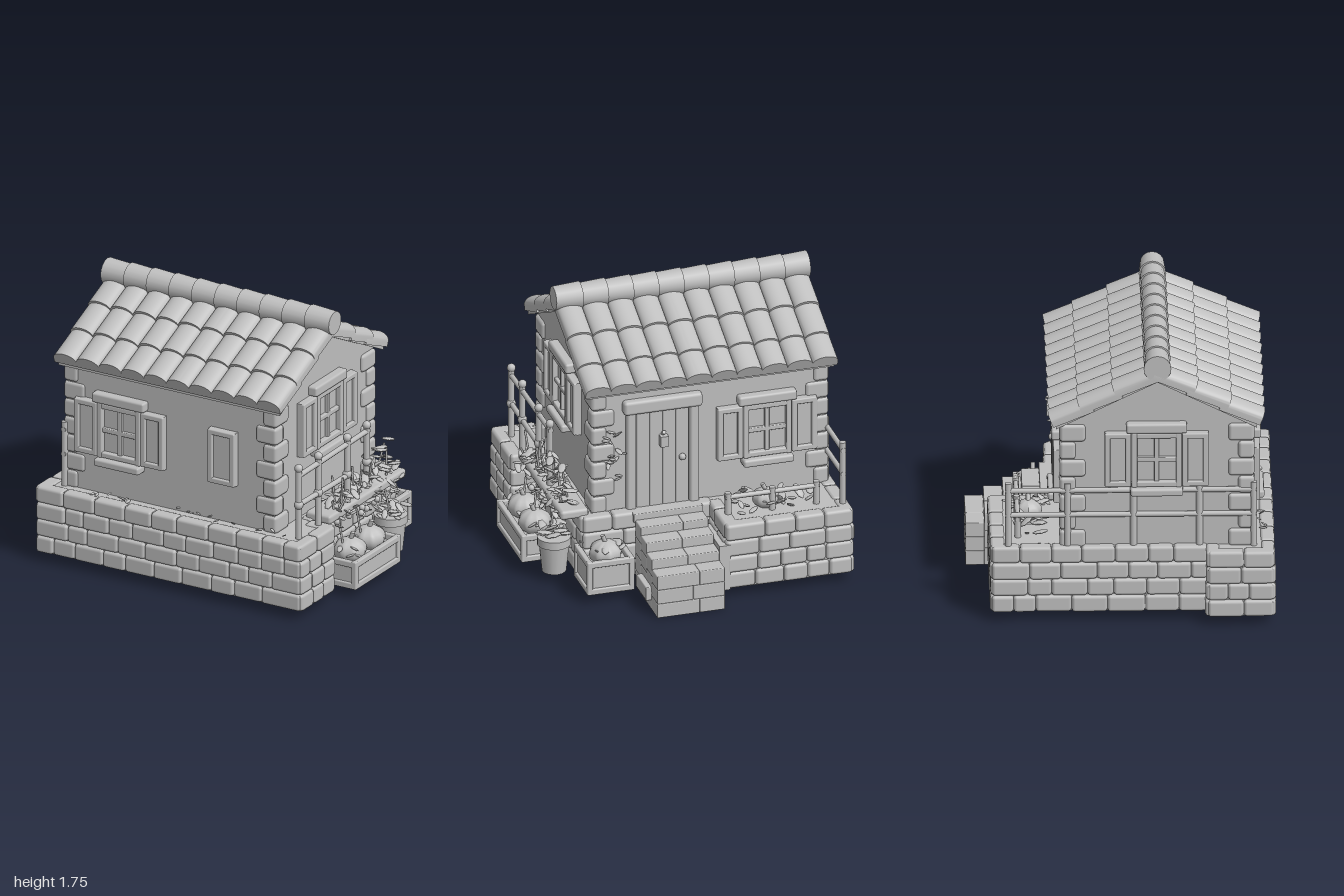
import * as THREE from 'three';
import { mergeGeometries, toCreasedNormals } from 'three/addons/utils/BufferGeometryUtils.js';
import { RoundedBoxGeometry } from 'three/addons/geometries/RoundedBoxGeometry.js';

const clay = new THREE.MeshStandardMaterial({ color: 0xbfbfbf });
clay.name = 'light grey clay';

let seed = 7;
const rnd = (a, b) => {
  seed = (seed * 16807) % 2147483647;
  return a + (b - a) * (seed / 2147483647);
};
const V = (x, y, z) => new THREE.Vector3(x, y, z);
const box = (w, h, d, x, y, z, ry = 0) => new THREE.BoxGeometry(w, h, d).rotateY(ry).translate(x, y, z);
const block = (w, h, d, x, y, z, r = 0.015, ry = 0) =>
  new RoundedBoxGeometry(w, h, d, 1, r).rotateY(ry).translate(x, y, z);
const ball = (r, x, y, z) => new THREE.SphereGeometry(r, 10, 8).translate(x, y, z);

function rod(a, b, r) {
  const dir = b.clone().sub(a);
  const q = new THREE.Quaternion().setFromUnitVectors(V(0, 1, 0), dir.clone().normalize());
  const c = a.clone().add(b).multiplyScalar(0.5);
  return new THREE.CylinderGeometry(r, r, dir.length(), 10).applyQuaternion(q).translate(c.x, c.y, c.z);
}

// Joins the pieces of one part into a single named mesh
function part(name, geos) {
  const list = geos.map((g) => (g.index ? g.toNonIndexed() : g));
  const mesh = new THREE.Mesh(mergeGeometries(list), clay);
  mesh.name = name;
  return mesh;
}

// Courses of pillowy stones along a line on the ground plan
function stones(x0, z0, x1, z1, y0 = 0.06, y1 = 0.49, rows = 4) {
  const out = [], len = Math.hypot(x1 - x0, z1 - z0), h = (y1 - y0) / rows;
  const ry = -Math.atan2(z1 - z0, x1 - x0);
  for (let r = 0; r < rows; r++) {
    let t = 0;
    while (t < len - 0.01) {
      let w = rnd(0.12, 0.23);
      if (len - t - w < 0.09) w = len - t;
      const m = (t + w / 2) / len;
      out.push(block(w, h, 0.08 + rnd(0, 0.018), x0 + (x1 - x0) * m, y0 + h * (r + 0.5), z0 + (z1 - z0) * m, 0.02, ry));
      t += w;
    }
  }
  return out;
}

// Shutter panel with raised border, facing +z
function shutter(x, h = 0.35, w = 0.16) {
  const out = [box(w, h, 0.03, x, 0, 0.015)];
  for (const s of [-1, 1]) {
    out.push(block(0.035, h, 0.03, x + s * (w / 2 - 0.017), 0, 0.035, 0.008));
    out.push(block(w, 0.035, 0.03, x, s * (h / 2 - 0.017), 0.035, 0.008));
  }
  return out;
}

function windowUnit(name, x, y, z, ry) {
  const g = [box(0.27, 0.35, 0.02, 0, 0, 0.005), ...shutter(-0.235), ...shutter(0.235)];
  for (const s of [-1, 1]) {
    g.push(block(0.035, 0.36, 0.05, s * 0.135, 0, 0.025, 0.008));
    g.push(block(0.28, 0.035, 0.045, 0, s * 0.16, 0.025, 0.008));
  }
  g.push(block(0.03, 0.34, 0.03, 0, 0, 0.022, 0.006), block(0.27, 0.03, 0.03, 0, 0, 0.022, 0.006));
  g.push(block(0.37, 0.065, 0.07, 0, 0.21, 0.025), block(0.32, 0.05, 0.09, 0, -0.205, 0.035));
  const m = part(name, g);
  m.position.set(x, y, z);
  m.rotation.y = ry;
  return m;
}

// Ribbed pumpkin with a short stem
function pumpkin(r, x, y, z) {
  const g = new THREE.SphereGeometry(r, 32, 12), p = g.attributes.position;
  for (let i = 0; i < p.count; i++) {
    const k = 1 - 0.09 * Math.abs(Math.sin(Math.atan2(p.getZ(i), p.getX(i)) * 4));
    p.setXYZ(i, p.getX(i) * k, p.getY(i) * 0.75, p.getZ(i) * k);
  }
  g.computeVertexNormals();
  return [g.translate(x, y, z), rod(V(x, y + r * 0.6, z), V(x + 0.02, y + r * 1.1, z), 0.014)];
}

// Scattered flattened leaves inside a box-shaped region
function leaves(n, x0, x1, y0, y1, z0, z1, size = 0.045) {
  return Array.from({ length: n }, () => {
    const s = size * rnd(0.7, 1.3);
    return new THREE.SphereGeometry(1, 7, 5).scale(s, s * 0.18, s * 0.5)
      .rotateZ(rnd(-0.7, 0.7)).rotateY(rnd(0, 6.28))
      .translate(rnd(x0, x1), rnd(y0, y1), rnd(z0, z1));
  });
}

function planter(x0, x1, z0, z1, y0, y1) {
  const w = x1 - x0, d = z1 - z0, cx = (x0 + x1) / 2, cz = (z0 + z1) / 2;
  const out = [box(w - 0.03, y1 - y0 - 0.04, d - 0.03, cx, (y0 + y1) / 2 - 0.02, cz)];
  for (const y of [y0 + 0.018, y1 - 0.022]) for (const s of [-1, 1]) {
    out.push(block(w, 0.04, 0.035, cx, y, cz + s * (d / 2 - 0.017), 0.008));
    out.push(block(0.035, 0.04, d, cx + s * (w / 2 - 0.017), y, cz, 0.008));
  }
  for (const sx of [-1, 1]) for (const sz of [-1, 1])
    out.push(block(0.035, y1 - y0, 0.035, cx + sx * (w / 2 - 0.017), (y0 + y1) / 2, cz + sz * (d / 2 - 0.017), 0.008));
  return out;
}

// Barrel tiles in three stepped rows; dir is +1 for front, -1 for back
function roofSlope(dir, edges) {
  const out = [], w = 0.08, slope = Math.atan(0.5);
  const arch = new THREE.Shape();
  arch.moveTo(-w, -0.02);
  arch.lineTo(w, -0.02);
  arch.lineTo(w, 0.015);
  arch.absellipse(0, 0.015, w, 0.05, 0, Math.PI, false);
  edges.forEach((e) => {
    const len = 0.27;
    for (let c = 0; c < 10; c++) {
      const g = new THREE.ExtrudeGeometry(arch, { depth: len, bevelEnabled: false, curveSegments: 10 })
        .translate(0, 0, -len).rotateX(slope - 0.07);
      const zEdge = dir > 0 ? e - 0.195 : 0.195 - e;
      g.translate(0, 1.625 - 0.5 * zEdge, zEdge);
      if (dir < 0) g.rotateY(Math.PI);
      out.push(toCreasedNormals(g.translate(-0.82 + c * 0.16, 0, 0.195), 0.7));
    }
  });
  return out;
}

export function createModel() {
  const house = new THREE.Group();
  house.name = 'cottage';
  const add = (name, geos) => house.add(part(name, geos));

  // Foundation: front terrace, middle and back yard, faced with stones
  add('foundationCore', [
    box(1.83, 0.42, 0.38, -0.045, 0.27, 0.695), box(1.56, 0.42, 0.95, -0.08, 0.27, 0.04),
    box(0.75, 0.42, 0.4, -0.48, 0.27, -0.6)]);
  add('foundationStones', [
    ...stones(-0.98, 0.865, 0.89, 0.865), ...stones(-0.98, 0.53, -0.83, 0.53), ...stones(0.72, 0.53, 0.89, 0.53),
    ...stones(-0.945, 0.5, -0.945, 0.9), ...stones(0.855, 0.5, 0.855, 0.9),
    ...stones(-0.85, -0.81, -0.85, 0.5), ...stones(0.69, -0.45, 0.69, 0.5),
    ...stones(-0.88, -0.775, -0.08, -0.775), ...stones(-0.12, -0.78, -0.12, -0.42), ...stones(-0.1, -0.425, 0.72, -0.425)]);

  // Walls with pointed gable ends
  const gable = new THREE.Shape([[-0.77, 0.46], [0.385, 0.46], [0.385, 1.29], [-0.195, 1.58], [-0.77, 1.29]]
    .map(([u, y]) => new THREE.Vector2(u, y)));
  add('walls', [new THREE.ExtrudeGeometry(gable, { depth: 1.47, bevelEnabled: false })
    .rotateY(Math.PI / 2).translate(-0.84, 0, 0)]);
  const quoins = [];
  for (const sx of [-1, 1]) for (const sz of [-1, 1]) for (let i = 0; i < 7; i++) {
    const lx = i % 2 ? 0.15 : 0.1, lz = i % 2 ? 0.1 : 0.16;
    quoins.push(block(lx, 0.115, lz, (sx > 0 ? 0.65 : -0.86) - sx * lx / 2, 0.53 + i * 0.116,
      (sz > 0 ? 0.785 : -0.4) - sz * lz / 2, 0.022));
  }
  add('cornerStones', quoins);

  // Roof: boards, tiles and ridge caps
  const boards = new THREE.Shape([[-0.8, 1.27], [-0.195, 1.575], [0.42, 1.27], [0.42, 1.3], [-0.195, 1.61], [-0.8, 1.3]]
    .map(([u, y]) => new THREE.Vector2(u, y)));
  add('roofBoards', [new THREE.ExtrudeGeometry(boards, { depth: 1.57, bevelEnabled: false })
    .rotateY(Math.PI / 2).translate(-0.885, 0, 0)]);
  add('roofTiles', [...roofSlope(1, [0.42, 0.625, 0.825]), ...roofSlope(-1, [-0.06, -0.27, -0.445])]);
  const caps = [];
  for (let i = 0; i < 10; i++)
    caps.push(new THREE.CylinderGeometry(0.074, 0.084, 0.17, 16).rotateZ(-Math.PI / 2).translate(-0.815 + i * 0.16, 1.67, 0.195));
  add('ridgeCaps', caps);

  // Windows and the lone shutter
  house.add(windowUnit('frontWindow', -0.45, 0.91, 0.77, 0), windowUnit('backWindow', -0.46, 0.91, -0.385, Math.PI),
    windowUnit('leftWindow', 0.63, 1.06, 0.19, Math.PI / 2), windowUnit('rightWindow', -0.84, 1.06, 0.19, -Math.PI / 2));
  const lone = part('loneShutter', shutter(0, 0.35, 0.19));
  lone.position.set(0.275, 0.91, 0.77);
  house.add(lone);

  // Plank door with stone surround and lantern
  const door = [block(0.5, 0.09, 0.08, 0.2, 1.17, -0.395, 0.02), ball(0.022, 0.08, 0.8, -0.425)];
  for (let i = 0; i < 4; i++) door.push(block(0.083, 0.66, 0.03, 0.075 + i * 0.083, 0.8, -0.395, 0.008));
  for (const s of [-1, 1]) door.push(block(0.06, 0.68, 0.06, 0.2 + s * 0.2, 0.8, -0.395, 0.015));
  add('door', door);
  add('lantern', [box(0.05, 0.07, 0.05, 0.2, 0.93, -0.43), rod(V(0.2, 0.96, -0.4), V(0.2, 0.99, -0.44), 0.012)]);

  // Brick steps up to the door
  const steps = [];
  [0.28, 0.34, 0.4, 0.45].forEach((top, i) => {
    const z = -0.895 + i * 0.115, split = i % 2 ? 0.16 : 0.2, rows = 3 + (i > 1);
    for (let r = 0; r < rows; r++) {
      const h = top / rows, cut = r % 2 ? split : 0.36 - split;
      steps.push(block(cut, h, 0.115, -0.03 + cut / 2, h * (r + 0.5), z, 0.006));
      steps.push(block(0.43 - cut, h, 0.115, -0.03 + cut + (0.43 - cut) / 2, h * (r + 0.5), z, 0.006));
    }
  });
  steps.push(box(0.07, 0.3, 0.32, -0.07, 0.21, -0.66), block(0.05, 0.09, 0.2, 0.41, 0.11, -0.73, 0.006),
    block(0.44, 0.06, 0.12, 0.19, 0.46, -0.44, 0.006));
  add('steps', steps);

  // Post and rail fences on both sides, low fence behind
  const leftFence = [], rightFence = [], backFence = [];
  for (const z of [0.77, 0.54, 0.2, -0.03])
    leftFence.push(rod(V(0.8, 0.47, z), V(0.8, 0.93, z), 0.02), ball(0.027, 0.8, 0.94, z), ball(0.03, 0.8, 0.7, z));
  leftFence.push(rod(V(0.8, 0.89, 0.78), V(0.8, 0.9, -0.05), 0.017), rod(V(0.8, 0.7, 0.78), V(0.8, 0.69, 0.2), 0.017));
  for (const z of [-0.71, -0.35, 0.05, 0.45, 0.78])
    rightFence.push(rod(V(-0.85, 0.46, z), V(-0.85, 0.9, z), 0.021));
  for (const y of [0.69, 0.85]) rightFence.push(rod(V(-0.85, y, -0.73), V(-0.85, y, 0.8), 0.017));
  for (const x of [-0.7, -0.42, -0.14])
    backFence.push(rod(V(x, 0.46, -0.65), V(x, 0.63, -0.65), 0.02));
  backFence.push(rod(V(-0.72, 0.6, -0.65), V(-0.12, 0.6, -0.65), 0.016));
  add('leftFence', leftFence);
  add('rightFence', rightFence);
  add('backFence', backFence);

  // Flower ledge and planters along the left side
  add('flowerLedge', [block(0.18, 0.06, 0.9, 0.76, 0.5, 0.03, 0.02)]);
  add('longPlanter', planter(0.75, 1.0, -0.1, 0.43, 0.06, 0.24));
  add('cornerPlanter', planter(0.45, 0.75, -0.65, -0.36, 0.06, 0.28));
  add('flowerPot', [new THREE.CylinderGeometry(0.095, 0.075, 0.2, 16).translate(0.84, 0.16, -0.245),
    new THREE.CylinderGeometry(0.105, 0.105, 0.05, 16).translate(0.84, 0.265, -0.245)]);
  add('pumpkins', [...pumpkin(0.105, 0.87, 0.25, 0.28), ...pumpkin(0.105, 0.87, 0.25, 0.06),
    ...pumpkin(0.105, 0.6, 0.28, -0.53), ...pumpkin(0.085, -0.4, 0.53, -0.58)]);

  // Stems and foliage
  const stems = [];
  for (let i = 0; i < 14; i++) {
    const z = rnd(-0.33, 0.4), x = rnd(0.73, 0.84);
    stems.push(rod(V(x, 0.5, z), V(x + rnd(-0.02, 0.05), rnd(0.56, 0.75), z + rnd(-0.04, 0.04)), 0.007));
    stems.push(ball(0.02, rnd(0.82, 0.88), rnd(0.4, 0.5), z));
  }
  for (const z of [0.33, 0.12, -0.22]) stems.push(rod(V(0.86, 0.24, z), V(0.83, 0.46, z + 0.02), 0.007));
  add('stems', stems);
  add('leaves', [
    ...leaves(55, 0.72, 0.86, 0.52, 0.62, -0.35, 0.42), ...leaves(18, 0.72, 0.86, 0.6, 0.77, -0.3, 0),
    ...leaves(30, 0.81, 0.88, 0.4, 0.51, -0.38, 0.42, 0.035), ...leaves(16, 0.78, 0.92, 0.28, 0.36, -0.33, -0.16),
    ...leaves(12, 0.8, 0.95, 0.24, 0.3, -0.05, 0.4, 0.035), ...leaves(10, 0.5, 0.7, 0.29, 0.34, -0.62, -0.4),
    ...leaves(24, -0.7, -0.2, 0.49, 0.55, -0.7, -0.45), ...leaves(18, -0.8, 0.8, 0.49, 0.51, 0.78, 0.86, 0.025),
    ...leaves(14, 0.44, 0.56, 0.7, 1.02, -0.43, -0.39, 0.035)]);
  return house;
}
